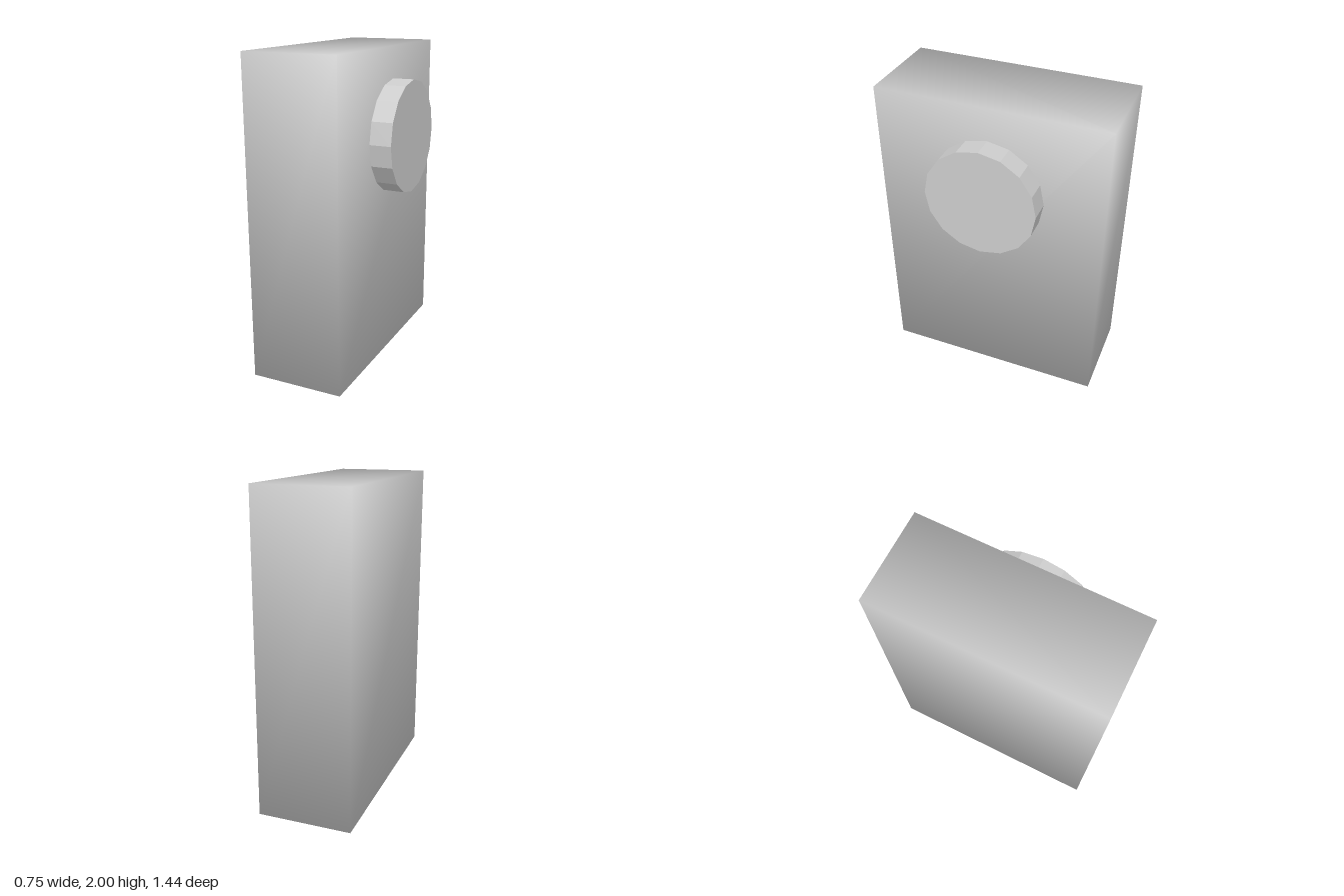
import * as THREE from 'three';

const grey = (flatShading) => new THREE.MeshStandardMaterial({ color: 0xcccccc, flatShading });

// Box whose corner normals point diagonally outwards, so it shades smoothly over its edges
function softShadedBox(w, h, d) {
  const geometry = new THREE.BoxGeometry(w, h, d);
  const { position, normal } = geometry.attributes;
  const n = new THREE.Vector3();
  for (let i = 0; i < position.count; i++) {
    n.set(Math.sign(position.getX(i)), Math.sign(position.getY(i)), Math.sign(position.getZ(i))).normalize();
    normal.setXYZ(i, n.x, n.y, n.z);
  }
  return geometry;
}

export function createModel() {
  const model = new THREE.Group();
  model.name = 'slabWithDisc';

  // Upright slab
  const slab = new THREE.Mesh(softShadedBox(0.595, 2, 1.44), grey(false));
  slab.name = 'slab';
  slab.position.set(-0.0775, 1, 0);
  model.add(slab);

  // Sixteen-sided disc, floating just off the slab's +x side
  const disc = new THREE.Mesh(new THREE.CylinderGeometry(0.35, 0.35, 0.135, 16).rotateZ(Math.PI / 2), grey(true));
  disc.name = 'disc';
  disc.position.set(0.3075, 1.457, 0);
  model.add(disc);

  return model;
}
